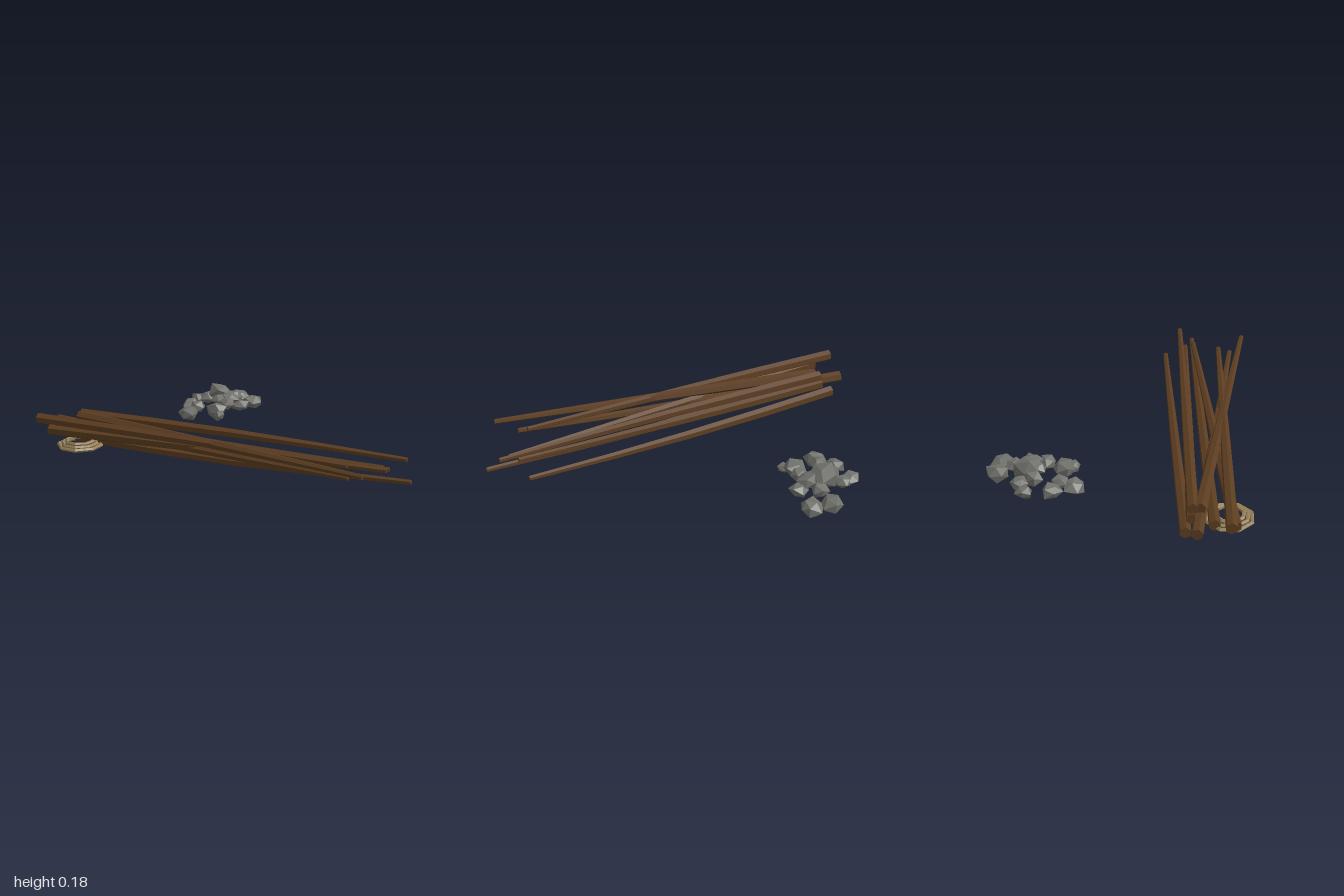
import * as THREE from 'three';
import { mergeVertices } from 'three/addons/utils/BufferGeometryUtils.js';

const mat = (name, color) => {
  const m = new THREE.MeshStandardMaterial({ color, flatShading: true });
  m.name = name;
  return m;
};

// Small repeatable random generator
function seeded(seed) {
  let s = seed * 7919 + 13;
  return () => {
    s = (s * 16807) % 2147483647;
    return s / 2147483647;
  };
}

// Tapered hexagonal pole from butt to tip, bowed vertically by `bow` at mid length
function poleGeometry(butt, tip, bow) {
  const a = new THREE.Vector3(...butt), b = new THREE.Vector3(...tip);
  const dir = b.clone().sub(a), length = dir.length();
  const geo = new THREE.CylinderGeometry(0.014, 0.031, length, 6, 4);
  const p = geo.attributes.position;
  const bows = Array.from({ length: p.count }, (_, i) => {
    const s = Math.sin(Math.PI * (p.getY(i) / length + 0.5));
    const swell = 1 + 0.14 * s;
    p.setX(i, p.getX(i) * swell);
    p.setZ(i, p.getZ(i) * swell);
    return s * bow;
  });
  const turn = new THREE.Quaternion().setFromUnitVectors(new THREE.Vector3(0, 1, 0), dir.normalize());
  geo.applyQuaternion(turn);
  const mid = a.add(b).multiplyScalar(0.5);
  geo.translate(mid.x, mid.y, mid.z);
  for (let i = 0; i < p.count; i++) p.setY(i, p.getY(i) + bows[i]);
  geo.computeVertexNormals();
  return geo;
}

// Irregular faceted stone
function stoneGeometry(r, seed) {
  const rand = seeded(seed);
  const raw = new THREE.IcosahedronGeometry(r, 0);
  raw.deleteAttribute('normal');
  raw.deleteAttribute('uv');
  const geo = mergeVertices(raw);
  const p = geo.attributes.position;
  for (let i = 0; i < p.count; i++) {
    const k = 0.78 + rand() * 0.55;
    p.setXYZ(i, p.getX(i) * k, p.getY(i) * k * 0.8, p.getZ(i) * k);
  }
  geo.rotateY(rand() * 6.28);
  const flat = geo.toNonIndexed();
  flat.computeVertexNormals();
  return flat;
}

export function createModel() {
  const model = new THREE.Group();
  model.name = 'buildingSupplies';
  const wood = mat('darkWood', 0x5c3d20);
  const stone = mat('greyStone', 0x70706b);
  const fibre = mat('ropeFibre', 0x968059);

  // Stacked poles in three layers: butt, tip, bow
  const poles = new THREE.Group();
  poles.name = 'poleStack';
  [
    [[-0.93, 0.05, 0.44], [0.765, 0.045, -0.313], -0.018],
    [[-0.82, 0.05, 0.55], [0.99, 0.052, -0.232], -0.022],
    [[-0.99, 0.097, 0.52], [0.83, 0.1, 0.06], -0.008],
    [[-0.86, 0.097, 0.67], [0.87, 0.095, -0.18], 0.002],
    [[-0.87, 0.095, 0.45], [0.82, 0.092, -0.21], -0.01],
    [[-0.95, 0.145, 0.68], [0.775, 0.14, 0.01], 0.004],
    [[-0.86, 0.145, 0.45], [0.915, 0.142, -0.28], 0.01],
    [[-0.84, 0.142, 0.48], [0.955, 0.143, 0.09], 0.002],
  ].forEach(([butt, tip, bow]) => {
    const mesh = new THREE.Mesh(poleGeometry(butt, tip, bow), wood);
    mesh.name = 'pole';
    poles.add(mesh);
  });
  model.add(poles);

  // Coil of rope, smaller turns resting higher
  const coil = new THREE.Group();
  coil.name = 'ropeCoil';
  [[0.118, 0.03], [0.096, 0.04], [0.074, 0.052]].forEach(([r, y], i) => {
    const ring = new THREE.Mesh(new THREE.TorusGeometry(r, 0.011, 5, 8), fibre);
    ring.name = 'ropeTurn';
    ring.rotation.set(Math.PI / 2, 0, 0.05 + i * 0.06);
    ring.position.set(-0.7, y, 0.585);
    coil.add(ring);
  });
  model.add(coil);

  // Heap of stones: x, y, z, radius
  const heap = new THREE.Group();
  heap.name = 'stoneHeap';
  [
    [-0.765, 0.055, -0.645, 0.056], [-0.66, 0.048, -0.665, 0.058],
    [-0.62, 0.06, -0.52, 0.05], [-0.895, 0.06, -0.435, 0.044],
    [-0.85, 0.075, -0.485, 0.045], [-0.755, 0.115, -0.48, 0.068],
    [-0.72, 0.085, -0.565, 0.048], [-0.63, 0.085, -0.42, 0.048],
    [-0.62, 0.06, -0.335, 0.058], [-0.565, 0.05, -0.31, 0.036],
    [-0.83, 0.06, -0.31, 0.05], [-0.755, 0.065, -0.3, 0.042],
    [-0.74, 0.045, -0.23, 0.053], [-0.67, 0.1, -0.49, 0.05],
    [-0.8, 0.085, -0.43, 0.046], [-0.71, 0.09, -0.44, 0.046],
  ].forEach(([x, y, z, r], i) => {
    const mesh = new THREE.Mesh(stoneGeometry(r, i + 3), stone);
    mesh.name = 'stone';
    mesh.position.set(x, y, z);
    heap.add(mesh);
  });
  model.add(heap);
  return model;
}
